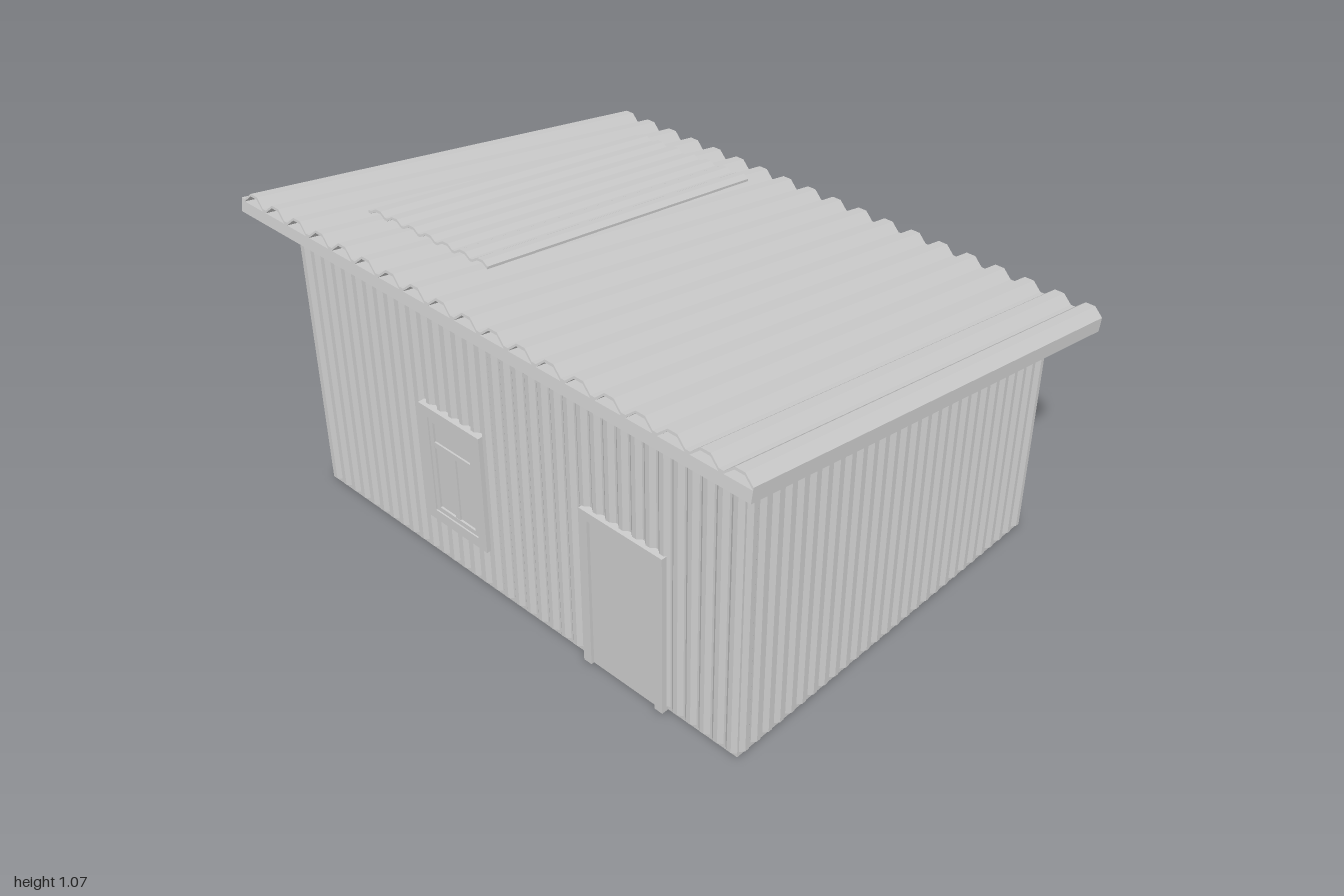
import * as THREE from 'three';

const mat = new THREE.MeshStandardMaterial({ color: 0xcccccc, flatShading: true, side: THREE.DoubleSide });
const SLOPE = 0.171;
const wallTop = z => 0.85 + SLOPE * z;

function add(parent, name, geometry, x = 0, y = 0, z = 0) {
  const mesh = new THREE.Mesh(geometry, mat);
  mesh.name = name;
  mesh.position.set(x, y, z);
  parent.add(mesh);
  return mesh;
}

const box = (w, h, d) => new THREE.BoxGeometry(w, h, d);

// Trapezoid wave along a length: pairs of [distance, height 0..1]
function wave(length, count) {
  const pts = [];
  const p = length / count;
  for (let i = 0; i < count; i++) {
    pts.push([i * p, 0], [(i + 0.14) * p, 0], [(i + 0.42) * p, 1], [(i + 0.72) * p, 1]);
  }
  pts.push([length, 0]);
  return pts;
}

// Thin corrugated sheet lying in x/z, waves running along z
function sheet(width, length, count, amp, thick) {
  const top = wave(width, count).map(([d, h]) => new THREE.Vector2(d - width / 2, h * amp + thick));
  const under = top.map(v => new THREE.Vector2(v.x, v.y - thick)).reverse();
  const geo = new THREE.ExtrudeGeometry(new THREE.Shape([...top, ...under]), { depth: length, bevelEnabled: false });
  return geo.translate(0, 0, -length / 2);
}

// Upright closed ribbon following an outline, cut to the roof slope at the top
function ribbon(outline, y0) {
  const pos = [];
  outline.forEach(([x, z], i) => {
    const [u, w] = outline[(i + 1) % outline.length];
    const a = [x, y0, z], b = [u, y0, w], c = [u, wallTop(w), w], d = [x, wallTop(z), z];
    pos.push(...a, ...b, ...c, ...a, ...c, ...d);
  });
  const geo = new THREE.BufferGeometry();
  geo.setAttribute('position', new THREE.Float32BufferAttribute(pos, 3));
  geo.computeVertexNormals();
  return geo;
}

// Rectangular outline whose sides are fluted outward
function flutedOutline(hx, hz, amp) {
  const sides = [
    [-hx, hz, 1, 0, 2 * hx, 36], [hx, hz, 0, -1, 2 * hz, 28],
    [hx, -hz, -1, 0, 2 * hx, 36], [-hx, -hz, 0, 1, 2 * hz, 28],
  ];
  return sides.flatMap(([x, z, dx, dz, len, n]) =>
    wave(len, n).slice(0, -1).map(([d, h]) => [x + dx * d - dz * h * amp, z + dz * d + dx * h * amp]));
}

// Flat rectangular ring
function ring(w, h, border, depth, openBottom = false) {
  const s = new THREE.Shape();
  const x = w / 2, y = h / 2, i = x - border, j = y - border;
  if (openBottom) {
    s.setFromPoints([[-x, -y], [-i, -y], [-i, j], [i, j], [i, -y], [x, -y], [x, y], [-x, y]]
      .map(p => new THREE.Vector2(...p)));
  } else {
    s.setFromPoints([[-x, -y], [x, -y], [x, y], [-x, y]].map(p => new THREE.Vector2(...p)));
    s.holes.push(new THREE.Path([[-i, -j], [-i, j], [i, j], [i, -j]].map(p => new THREE.Vector2(...p))));
  }
  return new THREE.ExtrudeGeometry(s, { depth, bevelEnabled: false });
}

function makeWindowFace() {
  const g = new THREE.Group();
  g.name = 'windowFace';
  add(g, 'windowFrame', ring(0.265, 0.42, 0.036, 0.03), 0, 0, 0.668);
  add(g, 'windowSash', ring(0.193, 0.348, 0.016, 0.025), 0, 0, 0.668);
  add(g, 'transom', box(0.17, 0.02, 0.02), 0, 0.077, 0.682);
  add(g, 'mullion', box(0.02, 0.24, 0.02), 0, -0.045, 0.682);
  return g;
}

export function createModel() {
  const hut = new THREE.Group();
  hut.name = 'hut';

  // Walls: flat inner shell and corrugated cladding
  add(hut, 'innerWalls', ribbon([[-0.89, 0.673], [0.89, 0.673], [0.89, -0.673], [-0.89, -0.673]], 0));
  add(hut, 'wallCladding', ribbon(flutedOutline(0.89, 0.673, 0.011), 0.015));

  // Window block running through the hut, with a face at each end
  const win = new THREE.Group();
  win.name = 'windows';
  win.position.set(-0.213, 0.37, 0);
  add(win, 'windowBlock', box(0.262, 0.417, 1.372));
  const back = makeWindowFace();
  back.rotation.y = Math.PI;
  win.add(makeWindowFace(), back);
  hut.add(win);

  // Door
  add(hut, 'doorFrame', ring(0.31, 0.56, 0.03, 0.075, true), 0.48, 0.28, 0.622);
  add(hut, 'doorPanel', box(0.25, 0.53, 0.025), 0.48, 0.265, 0.674);

  // Roof: two stacked slabs, corrugated sheet and a loose patch sheet
  const roof = new THREE.Group();
  roof.name = 'roof';
  roof.position.set(0, 0.865, 0.005);
  roof.rotation.x = -Math.atan(SLOPE);
  add(roof, 'lowerRoofSlab', box(1.92, 0.039, 1.475), 0, -0.0195, 0);
  add(roof, 'upperRoofSlab', box(2, 0.036, 1.583), 0, 0.018, 0);
  add(roof, 'roofSheet', sheet(2, 1.583, 19, 0.026, 0.008), 0, 0.036, 0);
  const patch = add(roof, 'patchSheet', sheet(0.49, 1.2, 7, 0.012, 0.008), -0.46, 0.07, -0.03);
  patch.rotation.y = 0.06;
  hut.add(roof);

  return hut;
}
